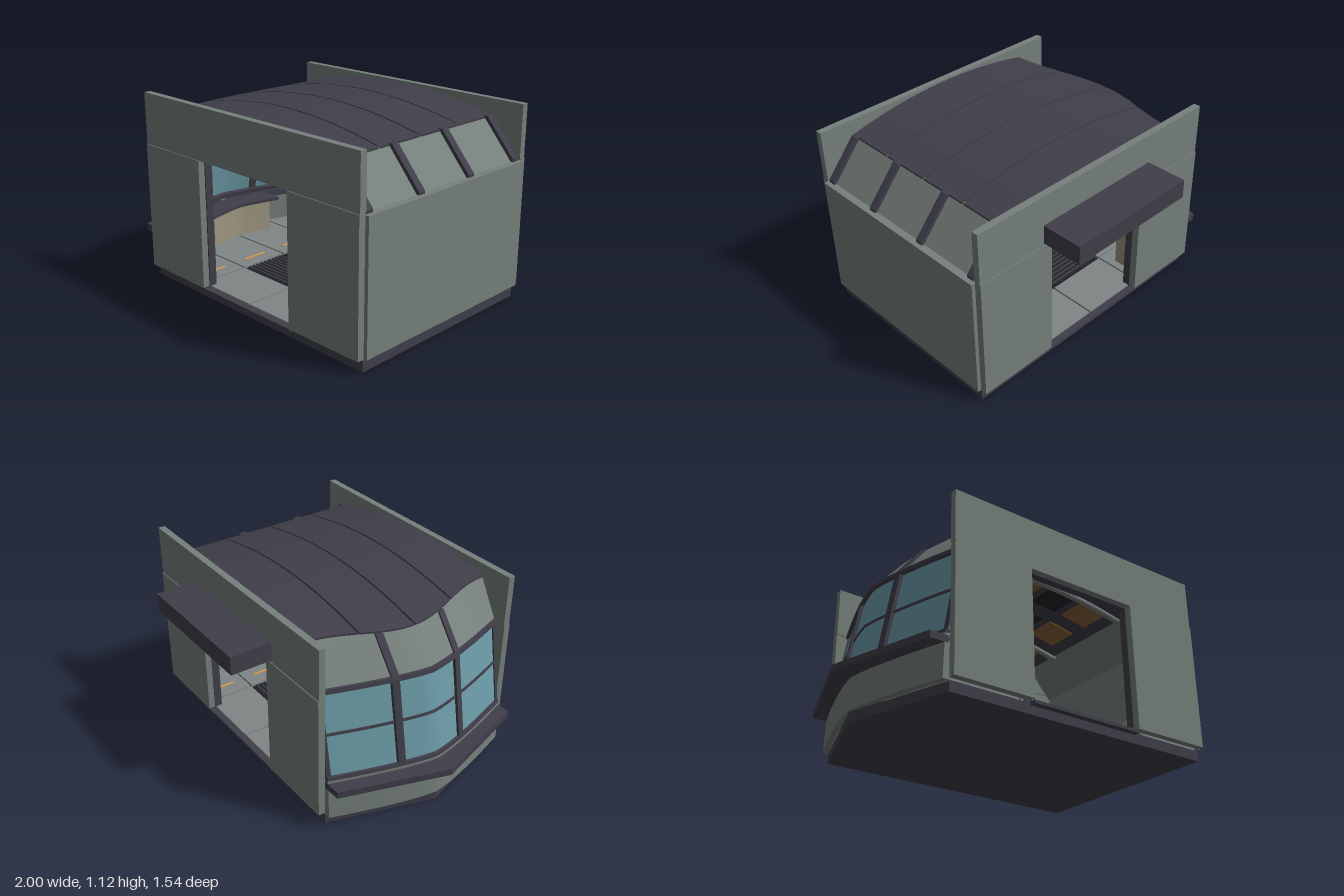
import * as THREE from 'three';
import { toCreasedNormals } from 'three/addons/utils/BufferGeometryUtils.js';

const mat = (name, color, side = THREE.FrontSide) => {
  const m = new THREE.MeshStandardMaterial({ color, side });
  m.name = name;
  return m;
};

const ZC = 0.1225, ZH = 0.6125;               // centre line and half depth of the room
const ROWS = [[-0.485, -0.193], [-0.183, 0.117], [0.127, 0.423], [0.433, 0.73]];

// Bow of the window end: setback from the tip at depth z
const t = z => Math.min(1, Math.abs(z - ZC) / ZH);
const bow = z => 0.17 * Math.pow(t(z), 1.3);
const vee = z => 0.2 * t(z);
const roofEdge = z => -0.63 + 0.07 * (1 - Math.cos(Math.PI * t(z)));
const roofY = x => 1.105 - 0.08 * ((x - 0.1) / 0.67) ** 2;

// Sweep a counter-clockwise xy section along z, with capped ends
function loft(section, z0, z1, n) {
  const pos = [], rows = [];
  for (let i = 0; i <= n; i++) {
    const z = z0 + (z1 - z0) * i / n;
    rows.push(section(z).map(([x, y]) => [x, y, z]));
  }
  const quad = (a, b, c, d) => pos.push(...a, ...b, ...c, ...a, ...c, ...d);
  const k = rows[0].length;
  for (let i = 0; i < n; i++)
    for (let j = 0; j < k; j++) {
      const j2 = (j + 1) % k;
      quad(rows[i][j], rows[i][j2], rows[i + 1][j2], rows[i + 1][j]);
    }
  const A = rows[0], B = rows[n];
  for (let j = 0; j < k / 2 - 1; j++) {
    quad(B[j], B[j + 1], B[k - 2 - j], B[k - 1 - j]);
    quad(A[j], A[k - 1 - j], A[k - 2 - j], A[j + 1]);
  }
  const g = new THREE.BufferGeometry();
  g.setAttribute('position', new THREE.Float32BufferAttribute(pos, 3));
  return toCreasedNormals(g, 0.4);
}

// Leaning wall band following the bow, from (xa, ya) up to (xb, yb)
const band = (xa, ya, xb, yb, thick, off = bow) => z => {
  const o = off(z);
  return [[xa + o, ya], [xa + o + thick, ya], [xb + o + thick, yb], [xb + o, yb]];
};

// Arched sheet under the roof line between depths d0 and d1
const arch = (d0, d1, x0 = roofEdge, x1 = 0.775) => z => {
  const top = [], low = [], a = x0(z), n = 16;
  for (let i = 0; i <= n; i++) {
    const x = a + (x1 - a) * i / n;
    low.push([x, roofY(x) - d1]);
    top.unshift([x, roofY(x) - d0]);
  }
  return [...low, ...top];
};

export function createModel() {
  const root = new THREE.Group();
  root.name = 'pavilion';
  const wall = mat('wall grey', 0x76807c);
  const dark = mat('dark trim', 0x403e49);
  const glass = mat('window glass', 0x6c9ba7, THREE.DoubleSide);
  const floor = mat('floor grey', 0x7f8785);
  const grille = mat('floor grille', 0x222227);
  const wood = mat('ceiling brown', 0x8a6238);
  const cream = mat('cabinet cream', 0x9c9580);
  const amber = mat('amber strip', 0xd39a52);

  const add = (name, geo, m, parent = root) => {
    const mesh = new THREE.Mesh(geo, m);
    mesh.name = name;
    parent.add(mesh);
    return mesh;
  };
  const box = (name, m, x0, x1, y0, y1, z0, z1) => {
    const b = add(name, new THREE.BoxGeometry(x1 - x0, y1 - y0, z1 - z0), m);
    b.position.set((x0 + x1) / 2, (y0 + y1) / 2, (z0 + z1) / 2);
    return b;
  };
  const lofted = (name, m, section, z0 = -0.488, z1 = 0.733, n = 24) =>
    add(name, loft(section, z0, z1, n), m);

  // Base plinth with a pointed window end
  lofted('base', dark, z => {
    const x = -0.885 + 0.195 * t(z);
    return [[x, 0], [0.97, 0], [0.97, 0.06], [x, 0.06]];
  }, -0.49, 0.735, 2);

  // Floor tiles, grilles and inlaid strips
  const cols = [[-0.265, 0.125], [0.135, 0.545], [0.555, 0.955]];
  ROWS.forEach(([z0, z1], r) => {
    lofted('floorTile', floor, z => {
      const x = -0.86 + bow(z);
      return [[x, 0.055], [-0.275, 0.055], [-0.275, 0.075], [x, 0.075]];
    }, z0, z1, 8);
    cols.forEach(([x0, x1], c) => {
      const open = c < 2 && (r === 1 || r === 2);
      box(open ? 'floorGrille' : 'floorTile', open ? grille : floor, x0, x1, 0.055, open ? 0.068 : 0.075, z0, z1);
      if (open) for (let i = 1; i < 10; i++) {
        const z = z0 + (z1 - z0) * i / 10;
        box('grilleSlat', dark, x0, x1, 0.068, 0.074, z - 0.005, z + 0.005);
      }
    });
    for (const x of [-0.36, 0.65])
      box('floorStrip', amber, x - 0.008, x + 0.008, 0.075, 0.079, z0 + 0.07, z1 - 0.07);
  });

  // Doorway walls, front and back
  for (const [name, f] of [['front', z => z], ['back', z => 2 * ZC - z]]) {
    const wb = (n, m, x0, x1, y0, y1, za, zb) =>
      box(name + n, m, x0, x1, y0, y1, Math.min(f(za), f(zb)), Math.max(f(za), f(zb)));
    wb('WallRight', wall, -0.69, -0.21, 0.072, 0.815, 0.735, 0.775);
    wb('WallLeft', wall, 0.49, 0.975, 0.072, 0.815, 0.735, 0.775);
    wb('Parapet', wall, -0.69, 0.975, 0.815, 1.115, 0.73, 0.77);
    wb('DoorJamb', dark, -0.25, -0.203, 0.06, 0.85, 0.69, 0.736);
    wb('DoorJamb', dark, 0.485, 0.53, 0.06, 0.85, 0.69, 0.736);
    wb('DoorHead', dark, -0.25, 0.53, 0.81, 0.85, 0.69, 0.736);
    wb('Threshold', dark, -0.21, 0.49, 0.05, 0.068, 0.72, 0.77);
  }

  // Canopy over the back doorway
  box('canopy', dark, -0.26, 0.545, 0.83, 0.94, -0.77, -0.525);

  // Closed end wall with sloping clerestory and ribs
  box('endWall', wall, 0.94, 0.997, 0.075, 0.805, -0.49, 0.735);
  lofted('clerestory', wall, () => [[0.96, 0.8], [0.765, 1.025], [0.74, 1.01], [0.93, 0.79]], -0.485, 0.73, 1);
  for (const z of [0.70, 0.33, -0.06, -0.45])
    lofted('clerestoryRib', dark,
      () => [[0.97, 0.8], [0.97, 0.82], [0.79, 1.028], [0.76, 1.028], [0.76, 1.0], [0.93, 0.8]],
      z - 0.022, z + 0.022, 1);

  // Bowed window end
  lofted('apronWall', wall, band(-0.895, 0.06, -0.885, 0.305, 0.04));
  lofted('outerLedge', dark, z => {
    const x = -1 + vee(z);
    return [[x, 0.25], [x + 0.15, 0.25], [x + 0.15, 0.29], [x, 0.29]];
  }, -0.49, 0.733, 2);
  lofted('windowSill', dark, band(-0.885, 0.3, -0.88, 0.325, 0.07));
  lofted('window', glass, band(-0.865, 0.32, -0.775, 0.81, 0.012));
  lofted('windowTransom', dark, band(-0.828, 0.558, -0.826, 0.572, 0.02));
  lofted('windowHead', dark, band(-0.80, 0.8, -0.795, 0.825, 0.06));
  // Upper panel blends from the bowed window to the roof edge
  const upper = (out, thick) => z => {
    const a = -0.785 + bow(z) - out, b = roofEdge(z) - out, y = roofY(roofEdge(z)) - 0.01;
    return [[a, 0.815], [a + thick, 0.815], [b + thick, y], [b, y]];
  };
  lofted('upperPanel', wall, upper(0, 0.03));
  for (const z of [-0.09, 0.325]) {
    lofted('mullion', dark, band(-0.885, 0.31, -0.795, 0.815, 0.04), z - 0.02, z + 0.02, 2);
    lofted('upperRib', dark, upper(0.015, 0.04), z - 0.02, z + 0.02, 2);
  }
  for (const [a, b] of [[-0.488, -0.465], [0.71, 0.733]])
    lofted('endMullion', dark, band(-0.875, 0.31, -0.785, 0.815, 0.03), a, b, 1);

  // Arched roof strips over a grey under layer
  for (const [z0, z1] of ROWS) lofted('roofStrip', dark, arch(0, 0.03), z0, z1, 10);
  lofted('roofUnderlay', wall, arch(0.028, 0.04));
  lofted('ceiling', dark, arch(0.04, 0.05));
  // Ceiling panels
  for (const [z0, z1] of ROWS)
    for (let i = 0; i < 5; i++) {
      const x0 = -0.44 + i * 0.235;
      lofted('ceilingPanel', i % 2 ? grille : wood, arch(0.049, 0.056, () => x0, x0 + 0.18), z0 + 0.05, z1 - 0.05, 1);
    }
  // Ceiling pipes following the arch
  for (const z of [-0.19, 0.43]) {
    const pts = [];
    for (let i = 0; i <= 8; i++) {
      const x = -0.5 + i * 0.155;
      pts.push(new THREE.Vector3(x, roofY(x) - 0.1, z));
    }
    add('ceilingPipe', new THREE.TubeGeometry(new THREE.CatmullRomCurve3(pts), 24, 0.018, 8), wall);
  }

  // Desk along the window and cabinets
  lofted('desk', dark, band(-0.82, 0.27, -0.82, 0.29, 0.15), -0.15, 0.45, 12);
  lofted('deskFront', cream, band(-0.72, 0.075, -0.72, 0.27, 0.03), -0.1, 0.4, 12);
  box('backCabinet', cream, -0.66, -0.32, 0.075, 0.32, -0.46, -0.28);
  box('backCabinetPanel', grille, -0.56, -0.42, 0.2, 0.24, -0.28, -0.275);
  box('sideCabinet', cream, 0.8, 0.94, 0.075, 0.32, 0.05, 0.4);
  box('sideCabinetPanel', grille, 0.795, 0.8, 0.2, 0.24, 0.15, 0.3);

  return root;
}
